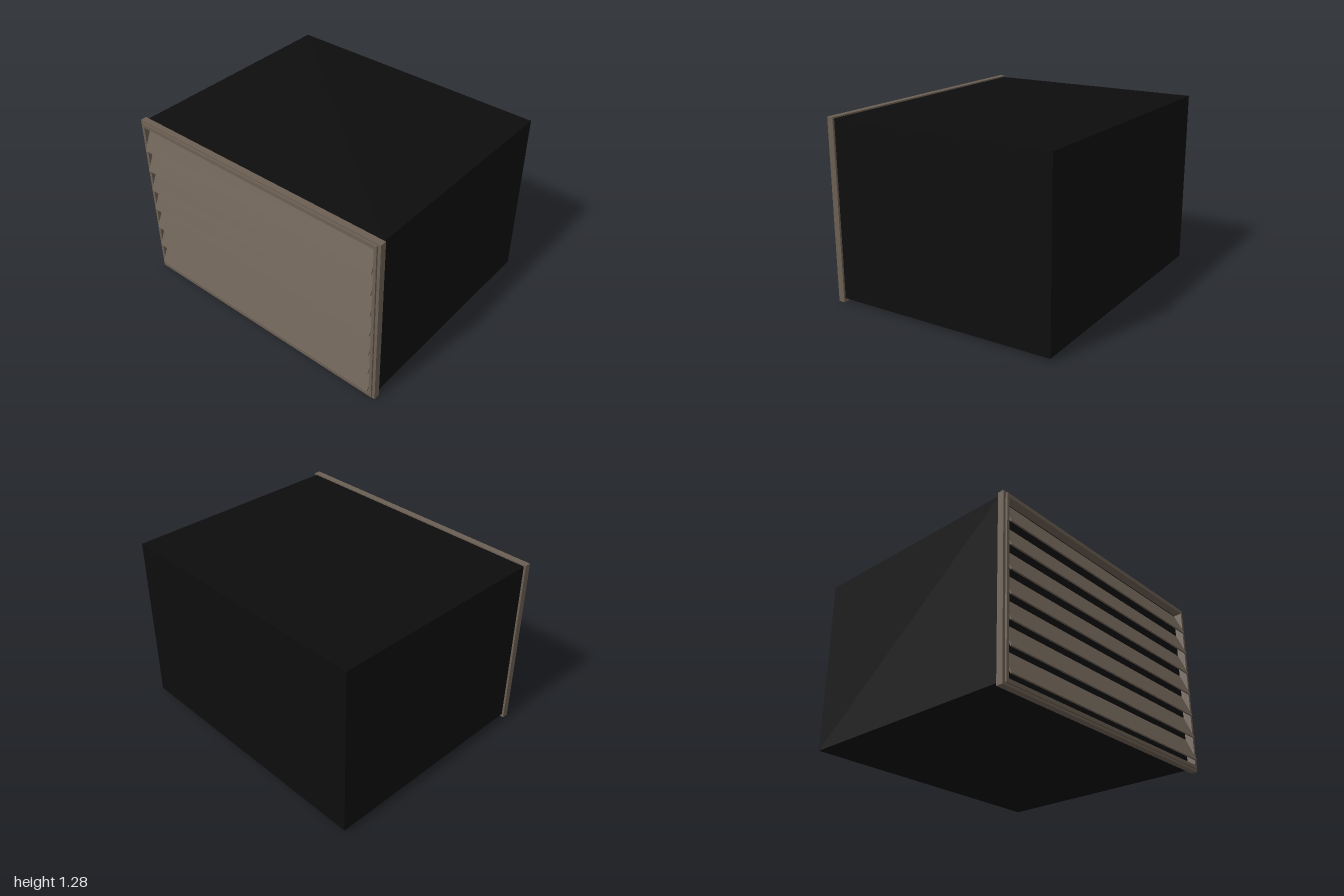
import * as THREE from 'three';

const bronze = new THREE.MeshStandardMaterial({ color: 0x6b5f53 });
const black = new THREE.MeshStandardMaterial({ color: 0x0d0d0d });

// Rectangular ring in the y-z plane, extruded along x from x0 to x1
function ring(name, x0, x1, [zOut, yLow, yHigh], [zIn, inLow, inHigh]) {
  const rect = (Type, z, a, b) => new Type([[-z, a], [z, a], [z, b], [-z, b]].map(p => new THREE.Vector2(...p)));
  const shape = rect(THREE.Shape, zOut, yLow, yHigh);
  shape.holes.push(rect(THREE.Path, zIn, inLow, inHigh));
  const geometry = new THREE.ExtrudeGeometry(shape, { depth: x1 - x0, bevelEnabled: false });
  geometry.rotateY(Math.PI / 2).translate(x0, 0, 0);
  const mesh = new THREE.Mesh(geometry, bronze);
  mesh.name = name;
  return mesh;
}

export function createModel() {
  const model = new THREE.Group();
  model.name = 'louverVent';

  // Closed duct box behind the louver
  const duct = new THREE.Mesh(new THREE.BoxGeometry(1.613, 1.245, 1.97), black);
  duct.name = 'ductBox';
  duct.position.set(0.0365, 0.6475, 0);
  model.add(duct);

  // Outer flange and the slimmer frame stepped out in front of it
  model.add(ring('outerFrame', -0.815, -0.77, [1, 0, 1.28], [0.96, 0.04, 1.24]));
  model.add(ring('innerFrame', -0.828, -0.815, [0.98, 0.015, 1.268], [0.96, 0.04, 1.24]));

  // Sloping slats, each overlapping the one below
  const profile = new THREE.Shape([[-0.845, 0], [-0.836, -0.004], [-0.76, 0.168], [-0.771, 0.168]]
    .map(p => new THREE.Vector2(...p)));
  const slatGeometry = new THREE.ExtrudeGeometry(profile, { depth: 1.92, bevelEnabled: false });
  slatGeometry.translate(0, 0, -0.96);
  const slats = new THREE.Group();
  slats.name = 'slats';
  for (let i = 0; i < 7; i++) {
    const slat = new THREE.Mesh(slatGeometry, bronze);
    slat.name = 'slat';
    slat.position.y = 0.072 + i * 0.1655;
    slats.add(slat);
  }
  model.add(slats);
  return model;
}
